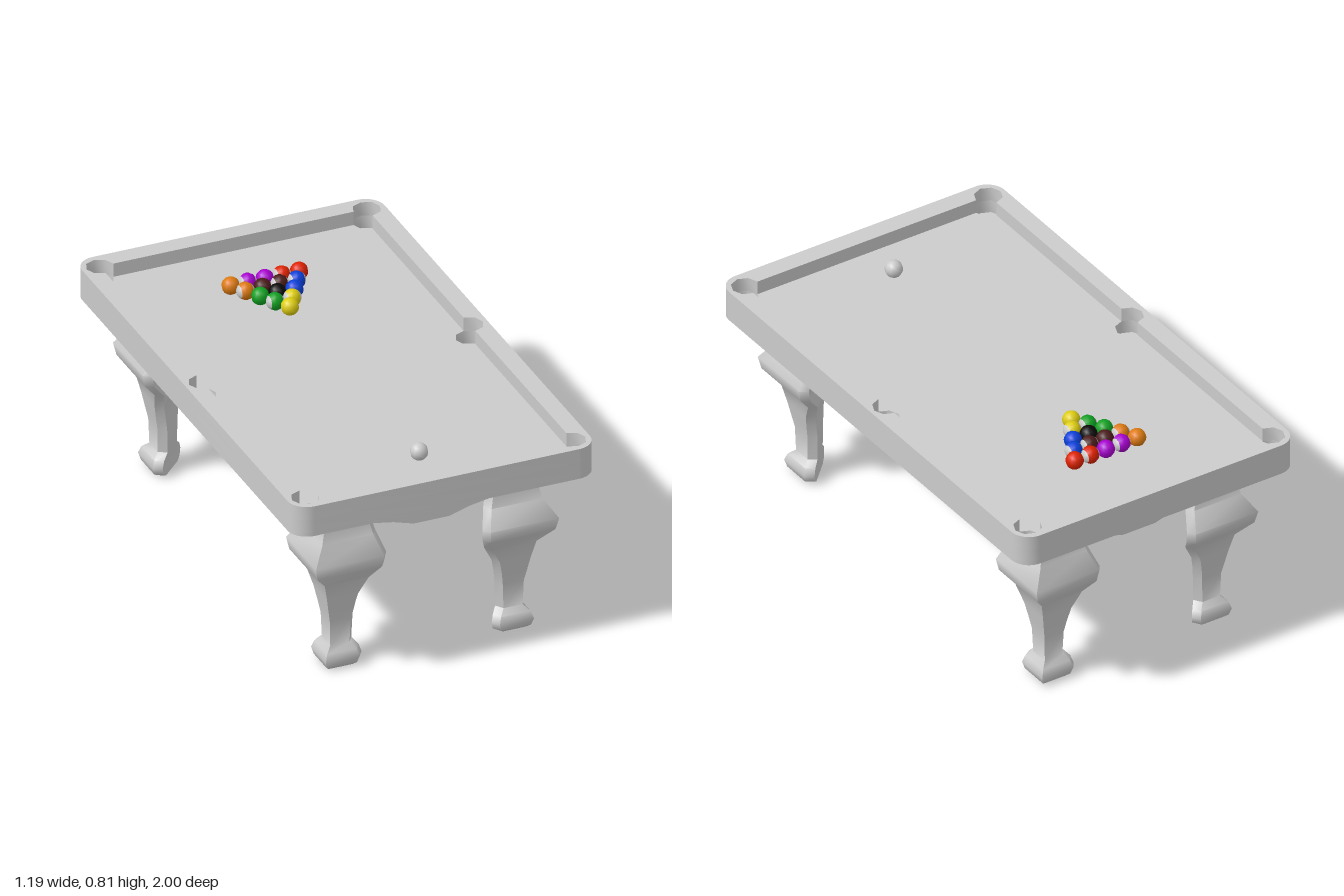
import * as THREE from 'three';
import { toCreasedNormals } from 'three/addons/utils/BufferGeometryUtils.js';

const CREASE = 0.85;
const FELT = 0.742, RAIL_TOP = 0.797, FRAME_BOTTOM = 0.674, POCKET_FLOOR = 0.69;
const IN_X = 0.527, IN_Z = 0.925, POCKET_R = 0.053;
const END = 0.435; // extra half length of the table compared with its half width

const material = (color = 0xcccccc) => new THREE.MeshStandardMaterial({ color });
const grey = material();

function add(parent, name, geometry, mat = grey) {
  const mesh = new THREE.Mesh(geometry, mat);
  mesh.name = name;
  parent.add(mesh);
  return mesh;
}

// Skin a stack of rings (bottom to top) and close both ends
function loft(rings) {
  const n = rings[0].length, index = [], last = (rings.length - 1) * n;
  for (let r = 0; r < rings.length - 1; r++) {
    for (let k = 0; k < n; k++) {
      const a = r * n + k, b = r * n + (k + 1) % n;
      index.push(a, a + n, b, a + n, b + n, b);
    }
  }
  for (let k = 1; k < n - 1; k++) index.push(0, k, k + 1, last, last + k + 1, last + k);
  const g = new THREE.BufferGeometry();
  g.setAttribute('position', new THREE.Float32BufferAttribute(rings.flat(2), 3));
  g.setIndex(index);
  return toCreasedNormals(g, CREASE);
}

// Points of an eight-sided pocket from one angle to another, in steps of 45 degrees
function pocketArc(sx, sz, from, to) {
  const pts = [];
  for (let a = from; a <= to; a += 45) {
    const t = THREE.MathUtils.degToRad(a);
    pts.push(new THREE.Vector2(sx * IN_X + POCKET_R * Math.cos(t), sz * IN_Z + POCKET_R * Math.sin(t)));
  }
  return pts;
}

// Pockets in order round the table, with the arc each one cuts into the rail
const POCKETS = [[1, 0, -90, 90], [1, 1, -90, 180], [-1, 1, 0, 270],
  [-1, 0, 90, 270], [-1, -1, 90, 360], [1, -1, 180, 450]];

function tableOutline() {
  const w = 0.597, l = 1, r = 0.075, s = new THREE.Shape();
  s.absarc(w - r, l - r, r, 0, Math.PI / 2);
  s.absarc(r - w, l - r, r, Math.PI / 2, Math.PI);
  s.absarc(r - w, r - l, r, Math.PI, Math.PI * 1.5);
  s.absarc(w - r, r - l, r, Math.PI * 1.5, Math.PI * 2);
  s.closePath();
  return s;
}

// Horizontal slab between two heights, with optional holes
function slab(y0, y1, holes = []) {
  const s = tableOutline();
  holes.forEach(pts => s.holes.push(new THREE.Path(pts)));
  const g = new THREE.ExtrudeGeometry(s, { depth: y1 - y0, bevelEnabled: false, curveSegments: 6 });
  g.rotateX(-Math.PI / 2).translate(0, y0, 0);
  return toCreasedNormals(g, CREASE);
}

function legGeometry() {
  // height, outer corner, inner edge
  const profile = [[0, 0.39, 0.277], [0.012, 0.403, 0.264], [0.04, 0.411, 0.257], [0.068, 0.402, 0.265],
    [0.09, 0.38, 0.284], [0.19, 0.383, 0.28], [0.243, 0.393, 0.272], [0.297, 0.403, 0.26],
    [0.364, 0.418, 0.224], [0.428, 0.47, 0.195], [0.476, 0.48, 0.19], [0.546, 0.435, 0.213],
    [0.59, 0.424, 0.224], [0.62, 0.42, 0.224]];
  return loft(profile.map(([y, o, i]) => [
    [o, y, o], [i + 0.02, y, o], [i, y, o - 0.03], [o - 0.03, y, i], [o, y, i + 0.02]]));
}

// Thin shaped panel hanging below the apron, from half of its lower edge
function valance(half) {
  const pts = [...half, ...half.map(([x, y]) => [-x, y]).reverse()];
  const s = new THREE.Shape(pts.map(p => new THREE.Vector2(...p)));
  return new THREE.ExtrudeGeometry(s, { depth: 0.03, bevelEnabled: false });
}

const C = { yellow: 0xddcc11, blue: 0x0a3fd8, red: 0xdd2200, purple: 0xa800d0,
  orange: 0xdd7a11, green: 0x11a022, maroon: 0x4a1a1a, black: 0x0a0a0a };
const RACK = [['yellow'], ['green*', 'yellow*'], ['green', 'black', 'blue'],
  ['orange*', 'maroon', 'maroon*', 'blue*'], ['orange', 'purple*', 'purple', 'red*', 'red']];
const R = 0.034;

function ball(name, color, striped) {
  const g = new THREE.Group();
  g.name = name;
  const mat = material(color);
  if (!striped) {
    add(g, 'ballBody', new THREE.SphereGeometry(R, 10, 8), mat);
    return g;
  }
  // coloured band with a pale cap on each side
  const cap = Math.PI * 0.27;
  add(g, 'ballBand', new THREE.SphereGeometry(R, 10, 4, 0, Math.PI * 2, cap, Math.PI - 2 * cap), mat);
  for (const start of [0, Math.PI - cap]) {
    add(g, 'ballCap', new THREE.SphereGeometry(R, 10, 2, 0, Math.PI * 2, start, cap));
  }
  g.rotation.z = Math.PI / 2;
  return g;
}

export function createModel() {
  const model = new THREE.Group();
  model.name = 'poolTable';

  // Frame: closed base, bed with pocket holes, raised rail
  add(model, 'frameBase', slab(FRAME_BOTTOM, POCKET_FLOOR));
  add(model, 'bed', slab(POCKET_FLOOR, FELT, POCKETS.map(([sx, sz]) => pocketArc(sx, sz, 0, 315))));
  add(model, 'rail', slab(FELT, RAIL_TOP, [POCKETS.flatMap(p => pocketArc(...p))]));

  // Apron moulding
  const apron = [[0.59, 0.425], [0.607, 0.43], [0.62, 0.447], [0.637, 0.463], [0.675, 0.485]];
  add(model, 'apron', loft(apron.map(([y, w]) => [
    [w, y, w + END], [-w, y, w + END], [-w, y, -w - END], [w, y, -w - END]])));

  // Valances on the four sides
  const endPanel = valance([[0.23, 0.6], [0.23, 0.588], [0.15, 0.574], [0.07, 0.55]]);
  const sidePanel = valance([[0.665, 0.6], [0.665, 0.588], [0.3, 0.572], [0.19, 0.547], [0.05, 0.532]]);
  for (let k = 0; k < 4; k++) {
    const side = k % 2 === 1;
    const pivot = new THREE.Group();
    pivot.name = side ? 'sideValance' : 'endValance';
    pivot.rotation.y = k * Math.PI / 2;
    add(pivot, 'valancePanel', side ? sidePanel : endPanel).position.z = 0.395 + (side ? 0 : END);
    model.add(pivot);
  }

  // Legs
  const leg = legGeometry();
  [1, -1, -1, 1].forEach((s, k) => {
    const mesh = add(model, 'leg', leg);
    mesh.rotation.y = k * Math.PI / 2;
    mesh.position.z = s * END;
  });

  // Racked balls and cue ball
  RACK.forEach((row, r) => row.forEach((key, i) => {
    const b = ball('rackedBall', C[key.replace('*', '')], key.endsWith('*'));
    b.position.set((i - r / 2) * 0.0676, FELT + R, -0.415 - r * 0.0565);
    model.add(b);
  }));
  const cue = ball('cueBall', 0xcccccc, false);
  cue.position.set(0, FELT + R, 0.748);
  model.add(cue);

  return model;
}
